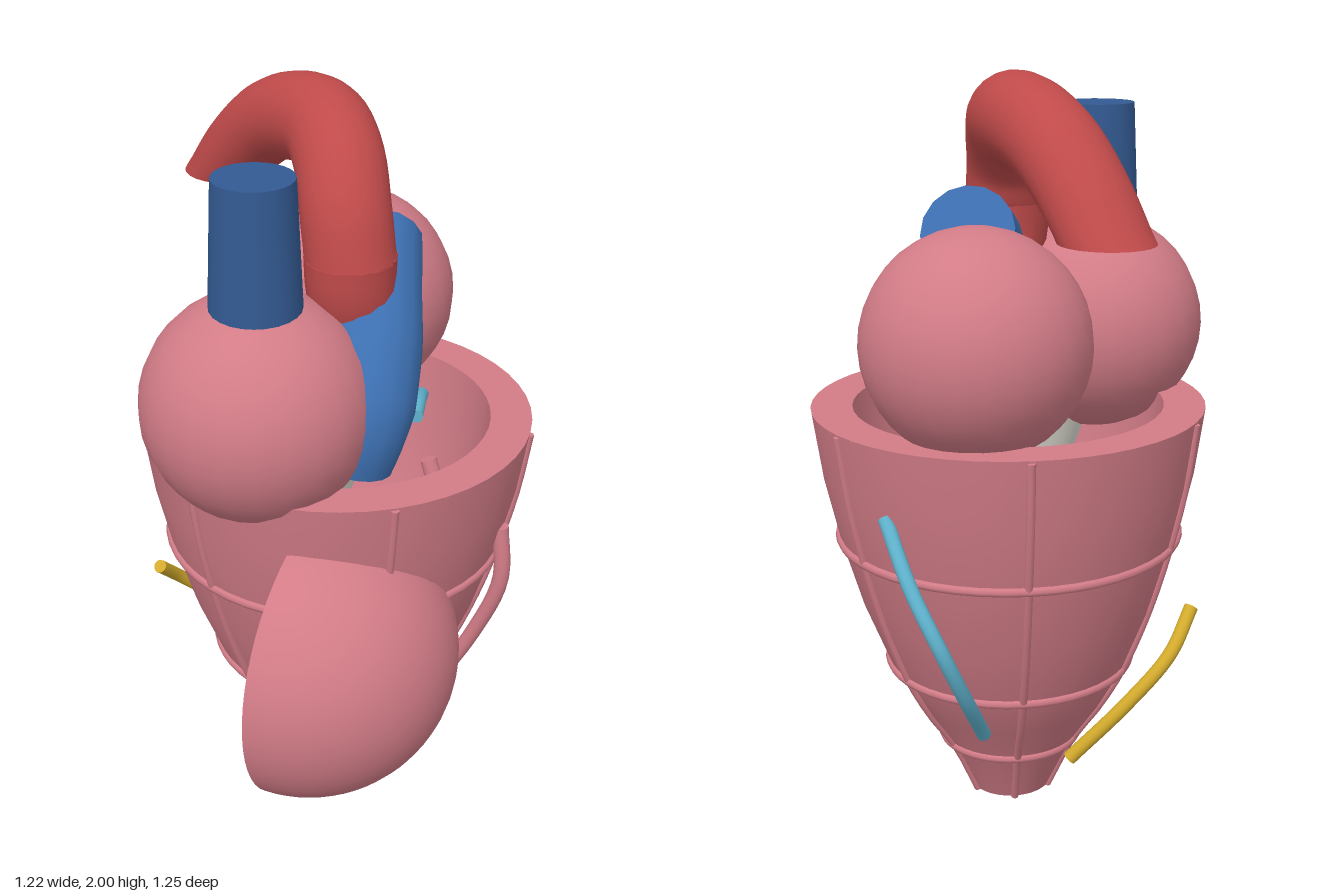
import * as THREE from 'three';

const V = (p) => new THREE.Vector3(...p);
const mat = (name, color, side = THREE.FrontSide) =>
  Object.assign(new THREE.MeshStandardMaterial({ color, side }), { name });

// Skin closed rings { c, v, u } into a capped tube
function loft(rings, sides = 24) {
  const pos = [], idx = [];
  const point = (r, j) => {
    const a = (j / sides) * Math.PI * 2;
    return r.c.clone().addScaledVector(r.v, Math.cos(a)).addScaledVector(r.u, Math.sin(a));
  };
  rings.forEach((r) => { for (let j = 0; j < sides; j++) pos.push(...point(r, j).toArray()); });
  for (let i = 0; i < rings.length - 1; i++) for (let j = 0; j < sides; j++) {
    const a = i * sides + j, b = i * sides + (j + 1) % sides;
    idx.push(a, b, a + sides, b, b + sides, a + sides);
  }
  [rings[0], rings[rings.length - 1]].forEach((r, end) => {
    const base = pos.length / 3;
    pos.push(...r.c.toArray());
    for (let j = 0; j < sides; j++) pos.push(...point(r, j).toArray());
    for (let j = 0; j < sides; j++) {
      const a = base + 1 + j, b = base + 1 + (j + 1) % sides;
      if (end) idx.push(base, a, b); else idx.push(base, b, a);
    }
  });
  const g = new THREE.BufferGeometry();
  g.setAttribute('position', new THREE.Float32BufferAttribute(pos, 3));
  g.setIndex(idx);
  g.computeVertexNormals();
  return g;
}

// Round tube along a smooth path, radius interpolated from a list
function tube(points, radii, steps = 24, sides = 16) {
  const curve = new THREE.CatmullRomCurve3(points.map(V));
  const f = curve.computeFrenetFrames(steps);
  const rings = [];
  for (let i = 0; i <= steps; i++) {
    const s = (i / steps) * (radii.length - 1), k = Math.min(Math.floor(s), radii.length - 2);
    const r = radii.length === 1 ? radii[0] : THREE.MathUtils.lerp(radii[k], radii[k + 1], s - k);
    rings.push({ c: curve.getPointAt(i / steps), v: f.normals[i].clone().multiplyScalar(r), u: f.binormals[i].clone().multiplyScalar(r) });
  }
  return loft(rings, sides);
}

// Tube bounded by an outer and an inner line, with a fixed sideways radius
function arch(outer, inner, width, steps = 32) {
  const o = new THREE.CatmullRomCurve3(outer.map(V)), n = new THREE.CatmullRomCurve3(inner.map(V));
  const mid = (t) => o.getPoint(t).add(n.getPoint(t)).multiplyScalar(0.5);
  const rings = [];
  for (let i = 0; i <= steps; i++) {
    const t = i / steps, c = mid(t);
    const dir = mid(Math.min(1, t + 0.02)).sub(mid(Math.max(0, t - 0.02)));
    const v = o.getPoint(t).sub(c);
    const u = dir.cross(v);
    if (i === 0 || i === steps) u.y = 0;
    rings.push({ c, v, u: u.setLength(width) });
  }
  return loft(rings);
}

export function createModel() {
  const root = new THREE.Group();
  root.name = 'heart';
  const muscle = mat('muscle pink', 0xd27c87, THREE.DoubleSide);
  const artery = mat('artery red', 0xc04a4a);
  const pulmonary = mat('pulmonary blue', 0x3d70b2);
  const cava = mat('vein dark blue', 0x335a92);
  const cyan = mat('coronary light blue', 0x5fb2cd);
  const yellow = mat('coronary yellow', 0xd2aa2c);
  const ivory = mat('valve ivory', 0xe0ded4, THREE.DoubleSide);
  const add = (name, geo, material, pos = [0, 0, 0], parent = root) => {
    const m = new THREE.Mesh(geo, material);
    m.name = name;
    m.position.set(...pos);
    parent.add(m);
    return m;
  };

  // Ventricle cup: thick wall built from base, outer, rim and inner surfaces
  const cup = new THREE.Group();
  cup.name = 'ventricleCup';
  cup.position.set(0.085, 0, 0.025);
  root.add(cup);
  const outer = [[0.115, 0], [0.19, 0.16], [0.27, 0.28], [0.335, 0.4], [0.405, 0.58], [0.46, 0.77], [0.5, 0.95], [0.525, 1.13]];
  const surfaces = {
    cupBase: [[0.03, 0], [0.115, 0]],
    cupOuterWall: outer,
    cupRim: [[0.525, 1.13], [0.415, 1.13]],
    cupInnerWall: [[0.415, 1.13], [0.39, 0.9], [0.35, 0.72], [0.24, 0.4], [0.11, 0.18], [0.03, 0.1], [0.03, 0]],
  };
  for (const [name, pts] of Object.entries(surfaces))
    add(name, new THREE.LatheGeometry(pts.map((p) => new THREE.Vector2(...p)), 48), muscle, [0, 0, 0], cup);

  // Seams: rings between the bands and six upright ribs
  for (const i of [1, 3, 5]) {
    const [r, y] = outer[i];
    add('bandSeam', new THREE.TorusGeometry(r, 0.013, 8, 48).rotateX(Math.PI / 2), muscle, [0, y, 0], cup);
  }
  for (let k = 0; k < 6; k++) {
    const rib = add('uprightSeam', tube(outer.map(([r, y]) => [r - 0.001, y, 0]), [0.011], 20, 8), muscle, [0, 0, 0], cup);
    rib.scale.y = 0.995;
    rib.rotation.y = (k * Math.PI) / 3;
  }

  // Open half shell of the right ventricle
  const shell = add('rightVentricleShell',
    new THREE.SphereGeometry(0.395, 32, 24, 0, Math.PI, 0, Math.PI * 0.86), muscle, [-0.225, 0.61, 0.235]);
  shell.rotation.set(0, 0.35, 0.12);

  // Atria
  add('rightAtrium', new THREE.SphereGeometry(0.297, 24, 18), muscle, [-0.257, 1.295, 0.085]);
  add('leftAtrium', new THREE.SphereGeometry(0.292, 24, 18), muscle, [0.305, 1.35, -0.145]);

  // Great vessels
  add('venaCava', new THREE.CylinderGeometry(0.1, 0.118, 0.4, 24), cava, [-0.267, 1.69, 0.095]);
  add('aorticArch', arch(
    [[-0.015, 1.64, 0.28], [0.0, 1.79, 0.235], [0.055, 1.93, 0.13], [0.12, 1.995, -0.03], [0.155, 1.985, -0.2], [0.175, 1.92, -0.36], [0.185, 1.8, -0.5], [0.19, 1.64, -0.625]],
    [[-0.015, 1.64, 0.05], [0.0, 1.7, 0.03], [0.05, 1.75, -0.01], [0.12, 1.77, -0.08], [0.155, 1.76, -0.17], [0.175, 1.735, -0.25], [0.185, 1.69, -0.32], [0.19, 1.64, -0.385]],
    0.113), artery);
  add('ascendingAorta', tube(
    [[0.125, 1.14, 0.125], [0.115, 1.26, 0.13], [0.06, 1.42, 0.145], [-0.01, 1.55, 0.165], [-0.015, 1.645, 0.165]],
    [0.07, 0.112, 0.108, 0.11, 0.115]), artery);
  add('pulmonaryTrunk', tube(
    [[-0.11, 1.14, 0.28], [-0.085, 1.27, 0.285], [0, 1.42, 0.225], [0.09, 1.52, 0.145], [0.19, 1.59, 0.055]],
    [0.095, 0.125, 0.13, 0.125, 0.125]), pulmonary);

  // Valves: ring with a tapering sleeve below
  for (const [name, x, y, z, r] of [
    ['mitralValve', 0.25, 1.11, -0.06, 0.14],
    ['tricuspidValve', -0.12, 1.11, 0.13, 0.14],
    ['aorticValve', 0.125, 1.14, 0.12, 0.1]]) {
    add(name + 'Ring', new THREE.TorusGeometry(r, 0.014, 10, 32).rotateX(Math.PI / 2), ivory, [x, y, z]);
    add(name + 'Sleeve', new THREE.CylinderGeometry(r, r * 0.6, 0.16, 24, 1, true), ivory, [x, y - 0.08, z]);
  }

  // Papillary muscles inside the cup
  add('papillaryMuscle', tube([[0.2, 1.02, 0.26], [0.21, 0.85, 0.32], [0.22, 0.62, 0.37]], [0.022, 0.03]), muscle);
  add('papillaryMuscle', tube([[-0.02, 0.85, -0.02], [-0.06, 0.65, -0.1], [-0.08, 0.45, -0.16]], [0.022, 0.04]), muscle);

  // Coronary vessels
  add('frontCoronary', tube([[0.252, 0.88, 0.475], [0.252, 0.72, 0.49], [0.235, 0.52, 0.425], [0.19, 0.28, 0.31], [0.125, 0.04, 0.165]], [0.023, 0.019]), muscle);
  add('sideCoronary', tube([[0.56, 0.94, -0.11], [0.57, 0.8, -0.23], [0.545, 0.66, -0.32], [0.48, 0.52, -0.32], [0.365, 0.34, -0.245]], [0.019]), cyan);
  add('innerCoronary', tube([[0.2, 1.13, 0.21], [0.27, 1.13, 0.16], [0.35, 1.1, 0.1]], [0.019]), cyan);
  add('backCoronary', tube([[-0.24, 0.58, -0.365], [-0.14, 0.48, -0.395], [-0.02, 0.36, -0.365], [0.11, 0.2, -0.28]], [0.019]), yellow);
  return root;
}
